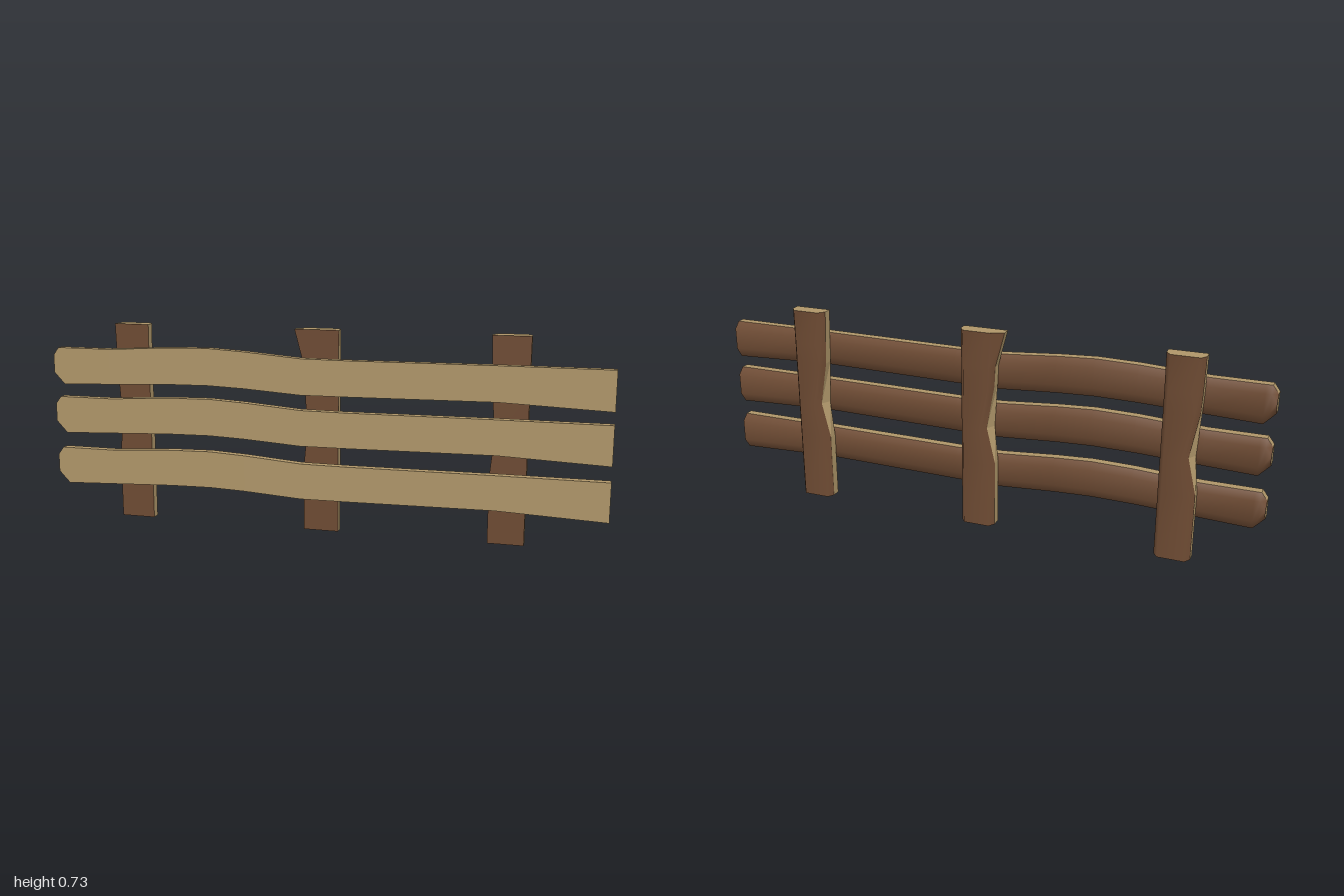
import * as THREE from 'three';

const cutWood = new THREE.MeshStandardMaterial({ color: 0xb0976a });
cutWood.name = 'cutWood';
const bark = new THREE.MeshStandardMaterial({ color: 0x6e4b33 });
bark.name = 'bark';

// Lofts a half-log board through stations [t, lo, hi, midInset, backInset].
// place(t, w, d) maps length, width and depth into space; flip reverses winding.
function board(name, stations, { mid, depth, hiInset, faceMaterial, place, flip }) {
  const rings = stations.map(([t, lo, hi, midIn, backIn]) => [
    [hi, 0], [hi, mid], [hi - hiInset, depth],
    [lo + backIn, depth], [lo + midIn, mid], [lo, 0],
  ].map(([w, d]) => place(t, w, d)));
  const flat = rings.flat();

  const strip = (sides) => {
    const index = [];
    for (let s = 0; s < rings.length - 1; s++) {
      for (const i of sides) {
        const a = s * 6 + i, b = s * 6 + (i + 1) % 6;
        index.push(a, a + 6, b + 6, a, b + 6, b);
      }
    }
    return index;
  };
  const caps = () => {
    const index = [], end = (rings.length - 1) * 6;
    for (let i = 1; i < 5; i++) index.push(0, i, i + 1, end, end + i + 1, end + i);
    return index;
  };

  const group = new THREE.Group();
  group.name = name;
  const add = (part, index, material, smooth) => {
    if (flip) for (let i = 0; i < index.length; i += 3) [index[i + 1], index[i + 2]] = [index[i + 2], index[i + 1]];
    let geo = new THREE.BufferGeometry();
    geo.setAttribute('position', new THREE.Float32BufferAttribute(flat.flat(), 3));
    geo.setIndex(index);
    if (!smooth) geo = geo.toNonIndexed();
    geo.computeVertexNormals();
    const mesh = new THREE.Mesh(geo, material);
    mesh.name = part;
    group.add(mesh);
  };
  add('roundedBack', strip([1, 2, 3]), bark, true);
  add('edges', strip([0, 4]), cutWood, false);
  add('face', strip([5]), faceMaterial, false);
  add('ends', caps(), cutWood, false);
  return group;
}

export function createModel() {
  const model = new THREE.Group();
  model.name = 'fence';

  // Three wavy rails, the same board at different heights
  const railShape = [
    [-1, 0.545, 0.61, 0, 0.02],
    [-0.98, 0.523, 0.637, 0, 0.03],
    [-0.96, 0.502, 0.637, 0, 0.037],
    [-0.78, 0.509, 0.637, 0, 0.037],
    [-0.55, 0.518, 0.65, 0, 0.037],
    [-0.4, 0.52, 0.653, 0, 0.037],
    [-0.27, 0.515, 0.646, 0, 0.037],
    [-0.06, 0.501, 0.629, 0, 0.037],
    [0.1, 0.502, 0.628, 0, 0.037],
    [0.62, 0.508, 0.631, 0, 0.037],
    [1, 0.493, 0.631, 0, 0.037],
  ];
  [['topRail', 0], ['middleRail', -0.182], ['bottomRail', -0.374]].forEach(([name, dy]) => {
    model.add(board(name, railShape, {
      mid: 0.03, depth: 0.055, hiInset: 0.023, faceMaterial: cutWood, flip: false,
      place: (t, w, d) => [t, w + dy, 0.055 - d],
    }));
  });

  // Three posts, notched on one side; the middle one flares at the top
  const posts = [
    ['rightPost', -0.71, 0.725, -0.066, 0.015],
    ['middlePost', 0, 0.725, -0.096, 0.045],
    ['leftPost', 0.658, 0.725, -0.068, 0.02],
  ];
  for (const [name, x, top, topLo, topBackIn] of posts) {
    const postShape = [
      [0, -0.063, 0.063, 0, 0.015],
      [0.24, -0.063, 0.063, 0, 0.015],
      [0.37, -0.05, 0.063, 0.018, 0.03],
      [0.53, -0.06, 0.063, 0, 0.015],
      [0.6, -0.063, 0.063, 0, 0.015],
      [top, topLo, 0.064, 0, topBackIn],
    ];
    model.add(board(name, postShape, {
      mid: 0.032, depth: 0.055, hiInset: 0.016, faceMaterial: bark, flip: true,
      place: (t, w, d) => [x + w, t, -d],
    }));
  }
  return model;
}
